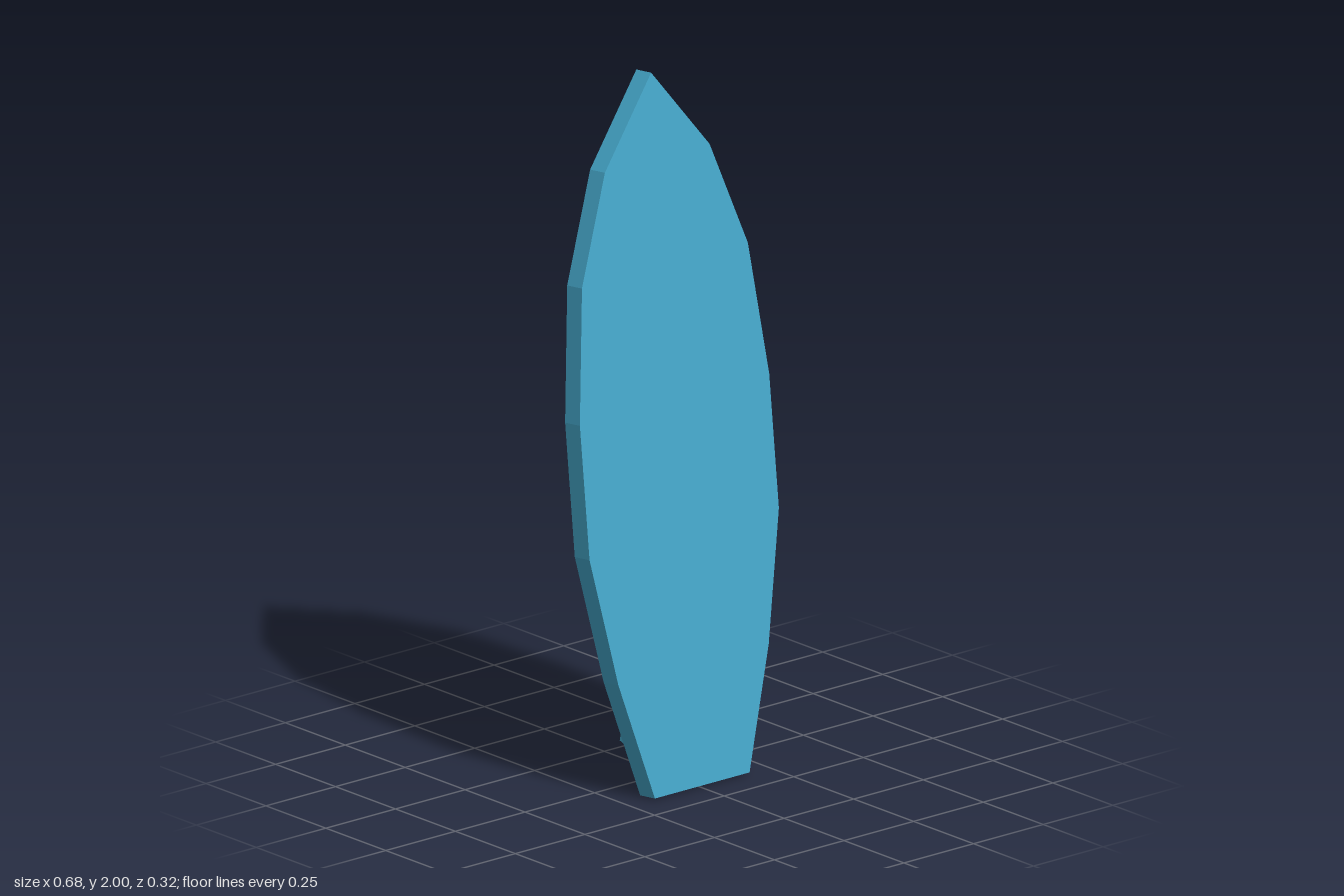
import * as THREE from 'three';

const THICKNESS = 0.062;
const TILT = 0.1066;
const FIN_WIDTH = 0.046;

function extrude(points, depth) {
  const shape = new THREE.Shape(points.map(([x, y]) => new THREE.Vector2(x, y)));
  return new THREE.ExtrudeGeometry(shape, { depth, bevelEnabled: false });
}

export function createModel() {
  const group = new THREE.Group();
  group.name = 'surfboard';
  const material = new THREE.MeshStandardMaterial({ color: 0x46a9cc, flatShading: true });

  // Board: half outline from tail to nose, mirrored, then leaned back
  const side = [[0.17, 0], [0.27, 0.34], [0.34, 0.707], [0.34, 1.085], [0.298, 1.462], [0.188, 1.764]];
  const mirrored = side.map(([x, y]) => [-x, y]).reverse();
  const board = new THREE.Mesh(extrude([...side, [0, 2.005], ...mirrored], THICKNESS), material);
  board.name = 'board';
  board.position.z = 0.097;
  board.rotation.x = -TILT;
  group.add(board);

  // Fin: side profile as (z, y), its root sunk slightly into the back of the board
  const profile = [
    [0.075, 0.32], [0.067, 0.318], [-0.04, 0.28], [-0.13, 0.18], [-0.159, 0.06],
    [-0.115, 0.045], [-0.075, 0.098], [0, 0.13], [0.095, 0.135],
  ];
  const fin = new THREE.Mesh(extrude(profile, FIN_WIDTH), material);
  fin.name = 'fin';
  fin.rotation.y = -Math.PI / 2;
  fin.position.x = FIN_WIDTH / 2;
  group.add(fin);

  return group;
}
